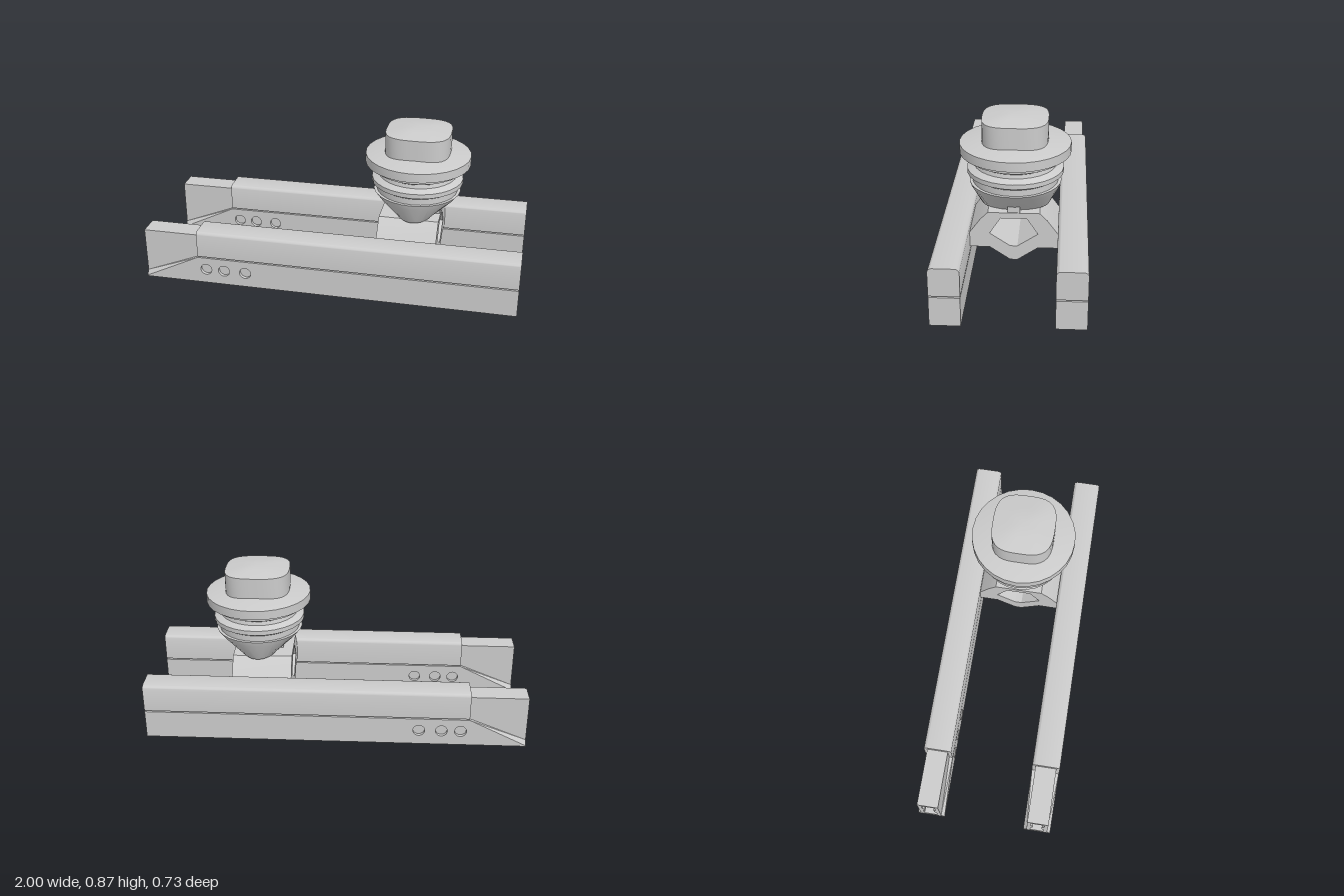
import * as THREE from 'three';
import { toCreasedNormals } from 'three/addons/utils/BufferGeometryUtils.js';

const material = new THREE.MeshStandardMaterial({ color: 0xcccccc });
const HALF = 0.074; // half width of a rail
const CORE = 0.056; // half width of its inner core
const pts = (list) => list.map(([x, y]) => new THREE.Vector2(x, y));

function addMesh(parent, name, geometry, crease = 0.45) {
  const mesh = new THREE.Mesh(toCreasedNormals(geometry, crease), material);
  mesh.name = name;
  parent.add(mesh);
  return mesh;
}

// Extrudes a cross-section drawn in (z, y) along x
function alongX(shape, x0, x1) {
  return new THREE.ExtrudeGeometry(shape, { depth: x1 - x0, bevelEnabled: false, curveSegments: 6 })
    .rotateY(Math.PI / 2).translate(x0, 0, 0);
}

// Mirrors a half outline (bottom to top) into a closed symmetric one
const mirrored = (half) => pts([...half, ...half.slice().reverse().map(([x, y]) => [-x, y])]);

function boxShape(half, y0, y1) {
  return new THREE.Shape(mirrored([[half, y0], [half, y1]]));
}

// Moves the vertices of a geometry by a rule
function warp(geometry, rule) {
  const p = geometry.attributes.position;
  const v = new THREE.Vector3();
  for (let i = 0; i < p.count; i++) {
    v.fromBufferAttribute(p, i);
    rule(v);
    p.setXYZ(i, v.x, v.y, v.z);
  }
  return geometry;
}

function createRail() {
  const rail = new THREE.Group();
  // The whole rail rises gently towards +x
  const slope = new THREE.Matrix4().set(1, 0, 0, 0, 0.01, 1, 0, 0.01, 0, 0, 1, 0, 0, 0, 0, 1);
  const add = (name, geometry) => addMesh(rail, name, geometry.applyMatrix4(slope));

  // Rounded upper cover
  const r = 0.022, top = 0.302;
  const cover = new THREE.Shape();
  cover.moveTo(-HALF, 0.157);
  cover.lineTo(HALF, 0.157);
  cover.lineTo(HALF, top - r);
  cover.absarc(HALF - r, top - r, r, 0, Math.PI / 2);
  cover.absarc(-HALF + r, top - r, r, Math.PI / 2, Math.PI);
  cover.closePath();
  add('railCover', alongX(cover, -0.7, 1));

  // Solid core, and the hollow waisted nose at its open end
  add('railCore', alongX(boxShape(CORE, 0, 0.277), -0.7, 0.97));
  const nose = boxShape(CORE, 0, 0.277);
  nose.holes.push(new THREE.Path(mirrored([
    [0.036, 0.035], [0.036, 0.1], [0.024, 0.115], [0.024, 0.165], [0.036, 0.18], [0.036, 0.25],
  ])));
  add('railNose', alongX(nose, -1, -0.7));
  add('railEnd', alongX(boxShape(HALF, 0, 0.15), 0.97, 1));

  // Side plates with three bores and a bevelled ramp to the nose
  for (const side of [-1, 1]) {
    const plate = new THREE.Shape(pts([[-1, 0], [0.97, 0], [0.97, 0.15], [-0.7, 0.15], [-1, 0.03]]));
    for (const x of [-0.655, -0.555, -0.437]) {
      plate.holes.push(new THREE.Path().absarc(x, 0.081, 0.031, 0, Math.PI * 2, true));
    }
    const geometry = new THREE.ExtrudeGeometry(plate, {
      depth: HALF - CORE, bevelEnabled: false, curveSegments: 12,
    });
    warp(geometry, (v) => {
      if (v.x < -0.99 && v.y > 0.01 && v.z > 0.001) v.y = 0.004;
    });
    geometry.translate(0, 0, CORE);
    if (side < 0) {
      // Mirror the plate and restore the corner order
      geometry.scale(1, 1, -1);
      const p = geometry.attributes.position;
      for (let i = 0; i < p.count; i += 3) {
        const a = new THREE.Vector3().fromBufferAttribute(p, i);
        p.setXYZ(i, p.getX(i + 1), p.getY(i + 1), p.getZ(i + 1));
        p.setXYZ(i + 1, a.x, a.y, a.z);
      }
    }
    add('railSidePlate', geometry);
  }
  return rail;
}

function createBracket() {
  const bracket = new THREE.Group();
  bracket.name = 'bracket';
  // Bridge between the rails with an open hexagonal window
  const bridge = new THREE.Shape(mirrored([
    [0.018, 0.128], [0.12, 0.197], [0.225, 0.197], [0.225, 0.268], [0.165, 0.35], [0.128, 0.387],
  ]));
  bridge.holes.push(new THREE.Path(mirrored([[0.018, 0.205], [0.12, 0.273], [0.065, 0.357]])));
  addMesh(bracket, 'bridge', alongX(bridge, 0.24, 0.555));
  addMesh(bracket, 'locatingKey', alongX(boxShape(0.03, 0.38, 0.423), 0.295, 0.55));
  return bracket;
}

function createHead() {
  const head = new THREE.Group();
  head.name = 'head';
  head.position.set(0.42, 0, -0.002);

  // Bowl: round at its rim, narrowing more in x than in z
  const bowl = new THREE.LatheGeometry(pts([
    [0, 0.386], [0.168, 0.386], [0.22, 0.488], [0.229, 0.515], [0.2, 0.515],
  ]), 28);
  warp(bowl, (v) => {
    if (v.y < 0.4) v.x *= 0.58;
    else if (v.y < 0.5) v.x *= 0.94;
  });
  addMesh(head, 'bowl', bowl);

  // Ribbed neck and wide flange
  addMesh(head, 'ribbedNeck', new THREE.LatheGeometry(pts([
    [0.19, 0.513], [0.213, 0.515], [0.213, 0.547], [0.24, 0.563], [0.24, 0.587], [0.205, 0.603],
    [0.2, 0.622], [0.24, 0.643], [0.24, 0.668], [0.22, 0.67],
  ]), 28));
  addMesh(head, 'flange', new THREE.LatheGeometry(pts([
    [0, 0.668], [0.275, 0.668], [0.275, 0.716], [0.16, 0.738], [0, 0.738],
  ]), 28));

  // Rounded-square cap with a shallow crown
  const cap = new THREE.LatheGeometry(pts([
    [1, 0.725], [1, 0.845], [0.5, 0.858], [0, 0.866],
  ]), 48);
  warp(cap, (v) => {
    const radius = Math.hypot(v.x, v.z);
    if (radius < 1e-6) return;
    const c = Math.abs(v.x / radius), s = Math.abs(v.z / radius);
    const k = 1 / Math.pow(c ** 3.4 + s ** 3.0, 1 / 3.2);
    v.x *= k * 0.168;
    v.z *= k * 0.163;
  });
  addMesh(head, 'cap', cap);
  return head;
}

export function createModel() {
  const model = new THREE.Group();
  model.name = 'railMountedHead';
  for (const side of [-1, 1]) {
    const rail = createRail();
    rail.name = side > 0 ? 'frontRail' : 'backRail';
    rail.position.z = side * 0.293;
    model.add(rail);
  }
  model.add(createBracket(), createHead());
  return model;
}
